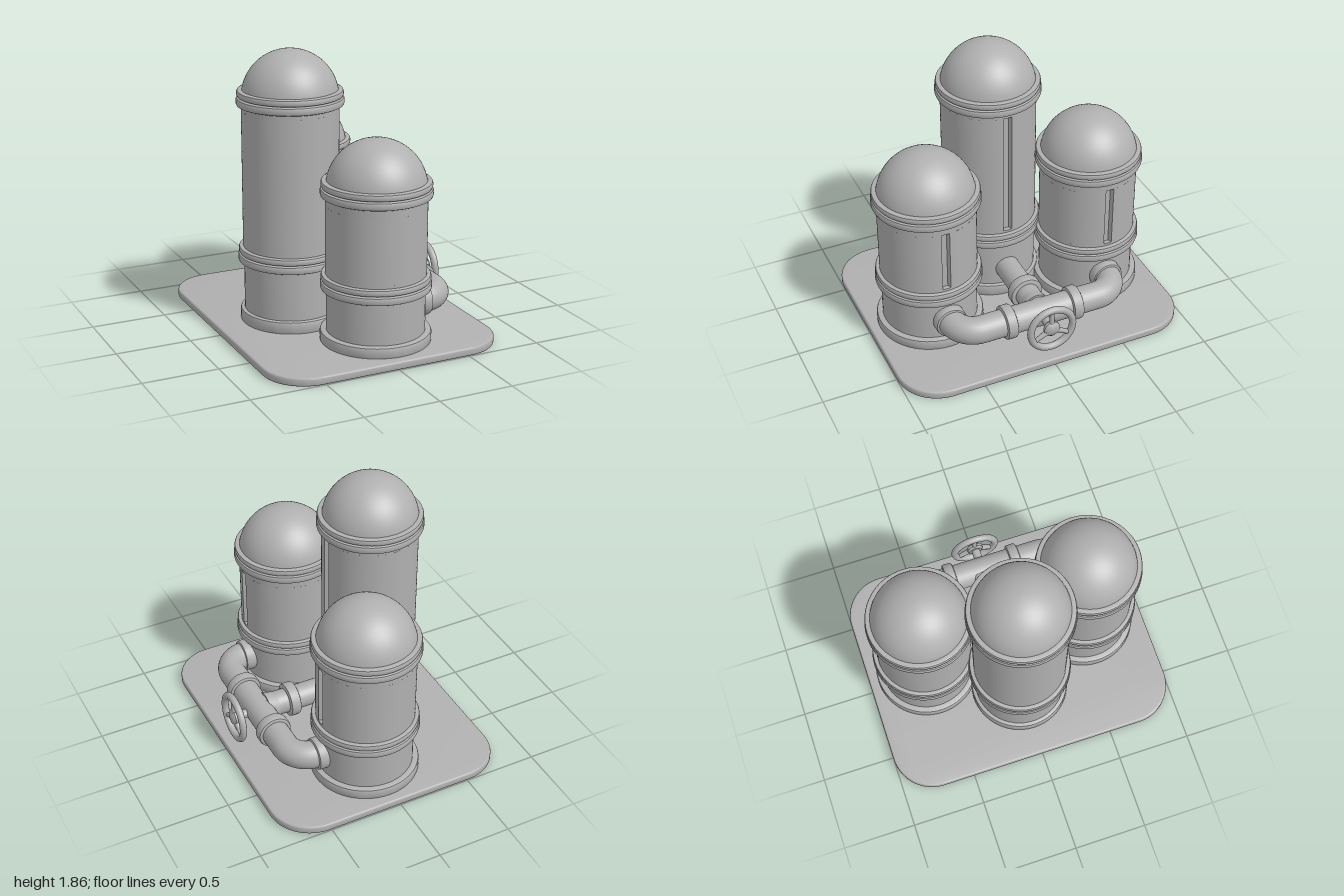
import * as THREE from 'three';
import { toCreasedNormals } from 'three/addons/utils/BufferGeometryUtils.js';

const metal = new THREE.MeshStandardMaterial({ color: 0xb0b0b0 });
metal.name = 'grey metal';
const PIPE_Y = 0.26;

function add(parent, name, geometry, crease = 0.6) {
  const mesh = new THREE.Mesh(crease ? toCreasedNormals(geometry, crease) : geometry, metal);
  mesh.name = name;
  parent.add(mesh);
  return mesh;
}

function lathe(points) {
  return new THREE.LatheGeometry(points.map(([r, y]) => new THREE.Vector2(r, y)), 56);
}

// Rounded ridge profile standing out from radius r to radius R
function ridge(r, R, y, h) {
  const b = 0.015;
  return [[r, y], [R - b, y], [R - 0.004, y + 0.005], [R, y + b],
    [R, y + h - b], [R - 0.004, y + h - 0.005], [R - b, y + h], [r, y + h]];
}

// Flat base plate with rounded corners and softened rims
function basePlate() {
  const b = 0.012, x = 0.8 - b, z = 1 - b, r = 0.27;
  const s = new THREE.Shape();
  s.absarc(x - r, z - r, r, 0, Math.PI / 2);
  s.absarc(-x + r, z - r, r, Math.PI / 2, Math.PI);
  s.absarc(-x + r, -z + r, r, Math.PI, Math.PI * 1.5);
  s.absarc(x - r, -z + r, r, Math.PI * 1.5, Math.PI * 2);
  s.closePath();
  return new THREE.ExtrudeGeometry(s, { depth: 0.055 - 2 * b, bevelSize: b, bevelThickness: b, bevelSegments: 3, curveSegments: 12 })
    .rotateX(-Math.PI / 2).translate(0, b, 0);
}

// Wall section with a vertical groove on the +x side
function groovedWall(r, y0, y1, halfWidth) {
  const a = Math.asin(halfWidth / r), s = new THREE.Shape();
  s.absarc(0, 0, r, a, Math.PI * 2 - a);
  s.lineTo(r - 0.03, -halfWidth * 0.6);
  s.lineTo(r - 0.03, halfWidth * 0.6);
  s.closePath();
  return new THREE.ExtrudeGeometry(s, { depth: y1 - y0, bevelEnabled: false, curveSegments: 56 })
    .rotateX(-Math.PI / 2).translate(0, y0, 0);
}

function tank(name, { x, z, r, foot, footTop, lower, upper, top, groove, halfWidth }) {
  const g = new THREE.Group();
  g.name = name;
  g.position.set(x, 0, z);
  add(g, 'foot', lathe([...ridge(r - 0.05, foot, 0.045, footTop - 0.045)]));
  add(g, 'lowerDrum', lathe([[r - 0.005, 0.05], [r - 0.005, lower + 0.02]]));
  // Paired bands round the lower and upper joints
  for (const [label, y] of [['lowerBand', lower], ['upperBand', upper]]) {
    add(g, label, lathe([...ridge(r - 0.02, r + 0.033, y, 0.054), ...ridge(r + 0.012, r + 0.028, y + 0.056, 0.046), [r - 0.02, y + 0.102]]));
  }
  // Plain wall below and above the groove
  add(g, 'wallBottom', lathe([[r, lower + 0.05], [r, groove[0]], [r - 0.05, groove[0]]]));
  add(g, 'groovedWall', groovedWall(r, groove[0], groove[1], halfWidth));
  add(g, 'wallTop', lathe([[r - 0.05, groove[1]], [r, groove[1]], [r, upper + 0.05]]));
  // Dome with a slightly flattened crown
  const dome = [];
  for (let i = 0; i <= 16; i++) {
    const t = (i / 16) * Math.PI / 2;
    dome.push([Math.max(r * Math.cos(t), 0), top - r + r * Math.sin(t)]);
  }
  add(g, 'dome', lathe(dome), 0);
  return g;
}

// Cylinder along x or z, centred on a point
function rod(axis, r, length, x, y, z) {
  const g = new THREE.CylinderGeometry(r, r, length, 32);
  if (axis === 'x') g.rotateZ(Math.PI / 2);
  else g.rotateX(Math.PI / 2);
  return g.translate(x, y, z);
}

function collar(axis, r, length, x, z) {
  const g = lathe(ridge(0.05, r, -length / 2, length));
  if (axis === 'x') g.rotateZ(-Math.PI / 2);
  else g.rotateX(Math.PI / 2);
  return g.translate(x, PIPE_Y, z);
}

function pipework() {
  const g = new THREE.Group();
  g.name = 'pipework';
  const V = (x, z) => new THREE.Vector3(x, PIPE_Y, z);
  for (const s of [1, -1]) {
    // Straight run, rounded elbow, then into the side tank
    const path = new THREE.CurvePath();
    const k = 0.155, c = k * 0.5523, px = 0.548, pz = 0.57;
    path.add(new THREE.LineCurve3(V(px, 0), V(px, s * (pz - k))));
    path.add(new THREE.CubicBezierCurve3(V(px, s * (pz - k)), V(px, s * (pz - k + c)), V(px - k + c, s * pz), V(px - k, s * pz)));
    path.add(new THREE.LineCurve3(V(px - k, s * pz), V(0.3, s * pz)));
    add(g, 'elbowPipe', new THREE.TubeGeometry(path, 48, 0.092, 28), 0);
    add(g, 'pipeCollar', collar('z', 0.115, 0.075, px, s * 0.237));
    add(g, 'tankFlange', collar('x', 0.108, 0.08, 0.38, s * pz));
  }
  add(g, 'branchPipe', rod('x', 0.083, 0.55, 0.265, PIPE_Y, 0));
  add(g, 'branchCollar', collar('x', 0.115, 0.075, 0.312, 0));
  // Flared neck where the branch meets the run
  add(g, 'teeNeck', new THREE.CylinderGeometry(0.098, 0.082, 0.08, 32)
    .rotateZ(-Math.PI / 2).translate(0.455, PIPE_Y, 0));
  return g;
}

function valve() {
  const g = new THREE.Group();
  g.name = 'valve';
  const y = 0.257, x = 0.725;
  add(g, 'stem', rod('x', 0.03, 0.12, 0.665, y, 0));
  add(g, 'hub', lathe([[0, -0.025], [0.045, -0.025], [0.056, -0.012], [0.056, 0.008], [0.04, 0.022], [0, 0.028]])
    .rotateZ(-Math.PI / 2).translate(x, y, 0));
  add(g, 'handwheelRim', new THREE.TorusGeometry(0.15, 0.024, 14, 48).rotateY(Math.PI / 2).translate(x, y, 0), 0);
  for (let i = 0; i < 3; i++) {
    add(g, 'spoke', new THREE.CylinderGeometry(0.014, 0.02, 0.12, 12)
      .translate(0, 0.09, 0).rotateX(i * Math.PI * 2 / 3).translate(x, y, 0));
  }
  return g;
}

export function createModel() {
  const model = new THREE.Group();
  model.name = 'tankCluster';
  add(model, 'basePlate', basePlate());
  model.add(tank('tallTank', { x: -0.28, z: 0, r: 0.315, foot: 0.337, footTop: 0.135, lower: 0.46, upper: 1.5, top: 1.86, groove: [0.58, 1.47], halfWidth: 0.03 }));
  for (const s of [1, -1]) {
    model.add(tank(s > 0 ? 'frontTank' : 'backTank', { x: 0.047, z: s * 0.58, r: 0.323, foot: 0.358, footTop: 0.125, lower: 0.4, upper: 1.01, top: 1.375, groove: [0.52, 0.955], halfWidth: 0.028 }));
  }
  model.add(pipework(), valve());
  return model;
}
